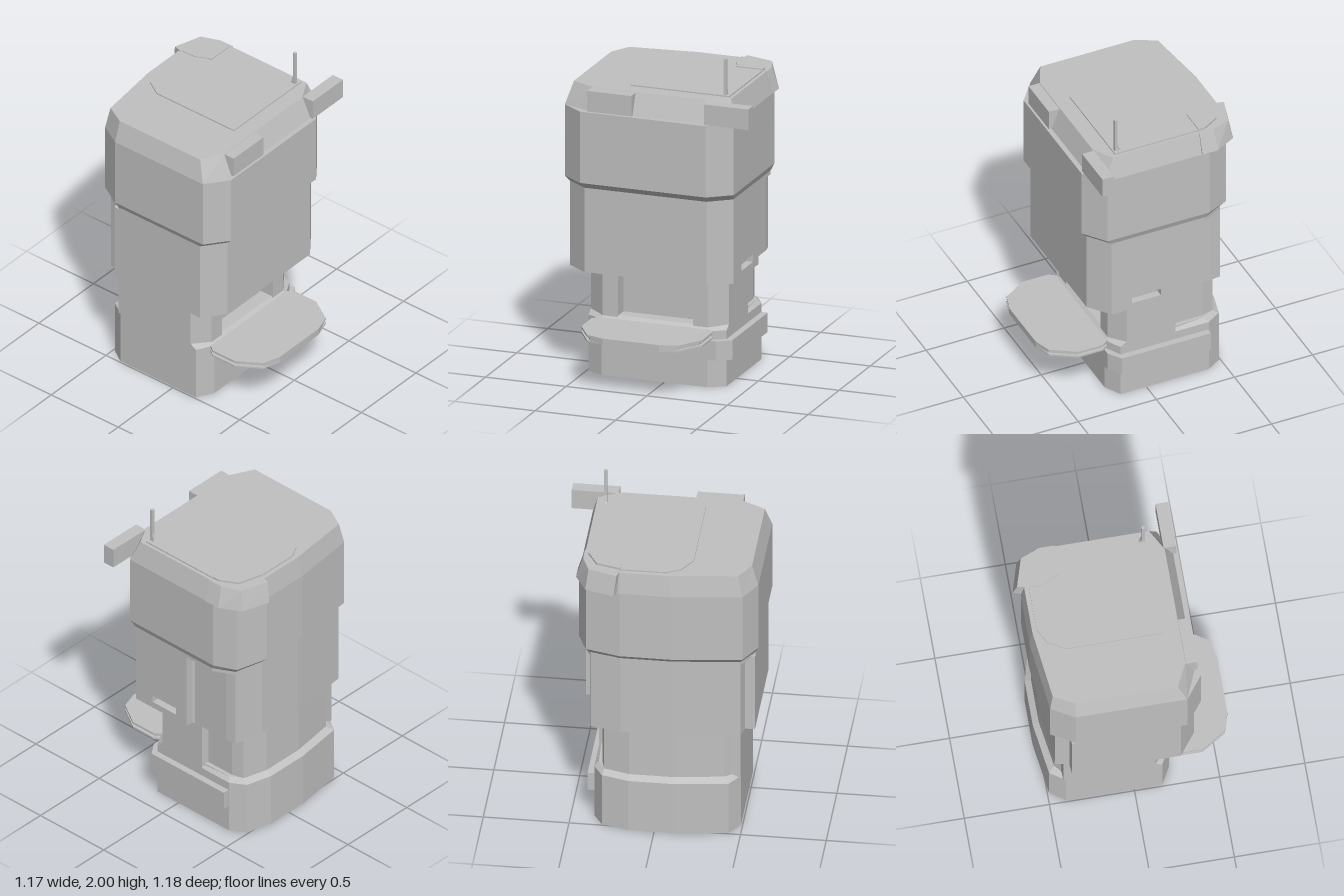
import * as THREE from 'three';

// Closed solid through plan outlines: rings = [[y, [[x, z], ...]], ...]
function loft(rings) {
  rings = rings.map(([y, pts]) => {
    const v = pts.map(([x, z]) => new THREE.Vector2(x, z));
    if (THREE.ShapeUtils.area(v) < 0) v.reverse();
    return { y, v };
  });
  const pos = [];
  const put = (r, i) => pos.push(r.v[i].x, r.y, r.v[i].y);
  for (let k = 0; k < rings.length - 1; k++) {
    const a = rings[k], b = rings[k + 1], n = a.v.length;
    for (let i = 0; i < n; i++) {
      const j = (i + 1) % n;
      put(a, i); put(b, i); put(a, j);
      put(a, j); put(b, i); put(b, j);
    }
  }
  const bottom = rings[0], top = rings[rings.length - 1];
  for (const [p, q, r] of THREE.ShapeUtils.triangulateShape(bottom.v, [])) {
    put(bottom, p); put(bottom, q); put(bottom, r);
  }
  for (const [p, q, r] of THREE.ShapeUtils.triangulateShape(top.v, [])) {
    put(top, p); put(top, r); put(top, q);
  }
  const g = new THREE.BufferGeometry();
  g.setAttribute('position', new THREE.Float32BufferAttribute(pos, 3));
  g.computeVertexNormals();
  return g;
}

export function createModel() {
  const model = new THREE.Group();
  const grey = new THREE.MeshStandardMaterial({ color: 0xc0c0c0 });
  grey.name = 'light grey';
  const add = (name, geometry) => {
    const m = new THREE.Mesh(geometry, grey);
    m.name = name;
    model.add(m);
    return m;
  };
  const prism = (name, y0, y1, pts) => add(name, loft([[y0, pts], [y1, pts]]));
  const box = (name, x0, x1, y0, y1, z0, z1) =>
    add(name, new THREE.BoxGeometry(x1 - x0, y1 - y0, z1 - z0))
      .position.set((x0 + x1) / 2, (y0 + y1) / 2, (z0 + z1) / 2);

  // Base with a bevelled ledge
  const base = [[-0.49, 0.165], [-0.39, 0.22], [0.265, 0.22], [0.365, 0.165], [0.365, -0.4],
    [0.31, -0.49], [0.15, -0.533], [-0.12, -0.533], [-0.43, -0.49], [-0.49, -0.4]];
  const ledge = [[-0.49, 0.125], [-0.39, 0.19], [0.265, 0.19], [0.365, 0.125], [0.34, -0.38],
    [0.3, -0.455], [0.15, -0.497], [-0.12, -0.497], [-0.4, -0.455], [-0.46, -0.39]];
  add('base', loft([[0, base], [0.34, base], [0.365, ledge]]));

  // Neck with front posts and a recessed centre
  prism('neck', 0.34, 0.665, [[-0.49, 0.125], [-0.39, 0.2], [-0.295, 0.2], [-0.295, 0.11],
    [0.17, 0.11], [0.17, 0.2], [0.265, 0.2], [0.365, 0.125], [0.365, -0.185], [0.32, -0.195],
    [0.32, -0.38], [0.3, -0.455], [0.15, -0.497], [-0.12, -0.497], [-0.4, -0.455],
    [-0.44, -0.42], [-0.49, -0.415]]);

  // Front tray with inset slanted edges
  const tray = (s) => [[-0.39 + s, 0.18], [-0.44 + s, 0.25], [-0.44 + s, 0.41], [-0.35 + s, 0.555],
    [-0.24, 0.59], [0.11, 0.59], [0.22 - s, 0.555], [0.31 - s, 0.41], [0.31 - s, 0.25], [0.26 - s, 0.18]];
  prism('trayBottom', 0.305, 0.315, tray(0));
  prism('trayCore', 0.315, 0.335, tray(0.02));
  prism('trayTop', 0.335, 0.347, tray(0));

  // Side rail on the base
  prism('sideRail', 0.17, 0.287, [[0.265, 0.23], [0.325, 0.23], [0.405, 0.175], [0.405, -0.395],
    [0.3, -0.395]]);

  // Middle body, stepped in at the rear sides
  prism('middleBody', 0.66, 1.16, [[-0.57, 0.26], [-0.44, 0.36], [0.315, 0.36], [0.445, 0.26],
    [0.4, 0.26], [0.4, -0.14], [0.39, -0.155], [0.39, -0.4], [0.38, -0.465], [0.2, -0.508],
    [-0.1, -0.508], [-0.495, -0.465], [-0.513, -0.385], [-0.57, -0.38]]);

  // Side panel with a slot; shape x runs along -z
  const panel = new THREE.Shape([[-0.26, 0.66], [0.14, 0.66], [0.14, 1.16], [-0.26, 1.16]]
    .map(([x, y]) => new THREE.Vector2(x, y)));
  panel.holes.push(new THREE.Path([[-0.13, 0.7], [-0.13, 0.745], [0.055, 0.745], [0.055, 0.7]]
    .map(([x, y]) => new THREE.Vector2(x, y))));
  const side = add('slottedSidePanel',
    new THREE.ExtrudeGeometry(panel, { depth: 0.045, bevelEnabled: false }));
  side.rotation.y = Math.PI / 2;
  side.position.x = 0.4;

  // Upper body, flaring out over the middle body
  const lip = [[-0.57, 0.26], [-0.44, 0.36], [0.315, 0.36], [0.445, 0.26], [0.445, -0.34],
    [0.38, -0.465], [0.2, -0.508], [-0.1, -0.508], [-0.495, -0.465], [-0.57, -0.34]];
  const upper = [[-0.587, 0.295], [-0.455, 0.397], [0.325, 0.397], [0.46, 0.295], [0.46, -0.36],
    [0.4, -0.495], [0.2, -0.547], [-0.1, -0.547], [-0.51, -0.497], [-0.587, -0.36]];
  add('upperBody', loft([[1.15, lip], [1.172, lip], [1.21, upper], [1.643, upper]]));

  // Tapered roof
  const eaves = [[-0.587, 0.295], [-0.415, 0.367], [0.31, 0.367], [0.46, 0.295], [0.46, -0.36],
    [0.4, -0.495], [0.2, -0.547], [-0.1, -0.547], [-0.51, -0.497], [-0.587, -0.36]];
  const crown = [[-0.55, 0.245], [-0.41, 0.315], [0.3, 0.315], [0.425, 0.245], [0.425, -0.35],
    [0.375, -0.475], [0.2, -0.527], [-0.075, -0.527], [-0.485, -0.478], [-0.55, -0.355]];
  add('roof', loft([[1.643, eaves], [1.775, crown]]));

  // Blocks on the roof edge
  box('frontBlock', -0.415, -0.14, 1.645, 1.77, 0.3, 0.385);
  box('overhangingBlock', 0.31, 0.585, 1.645, 1.77, 0.31, 0.385);
  add('rearCornerBlock', loft([
    [1.65, [[0.23, -0.59], [0.4, -0.54], [0.47, -0.41], [0.47, -0.31], [0.38, -0.31], [0.34, -0.42], [0.2, -0.5]]],
    [1.777, [[0.215, -0.567], [0.385, -0.515], [0.43, -0.4], [0.43, -0.31], [0.38, -0.31], [0.34, -0.42], [0.2, -0.5]]],
  ]));

  // Roof hatch and its raised corner
  prism('roofHatch', 1.77, 1.783, [[-0.21, 0.22], [-0.21, -0.355], [-0.15, -0.455], [-0.065, -0.5],
    [0.2, -0.5], [0.345, -0.46], [0.405, -0.355], [0.405, 0.22]]);
  prism('hatchCorner', 1.78, 1.789, [[0.2, -0.44], [0.205, -0.4], [0.24, -0.335], [0.24, -0.315],
    [0.405, -0.315], [0.405, -0.355], [0.345, -0.46], [0.2, -0.5]]);

  // Antenna with a flared foot
  box('antenna', 0.363, 0.381, 1.77, 2, 0.192, 0.21);
  const foot = (z) => [[0.363, 0.21], [0.381, 0.21], [0.381, z], [0.363, z]];
  add('antennaFoot', loft([[1.775, foot(0.165)], [1.79, foot(0.18)], [1.83, foot(0.192)]]));

  return model;
}
